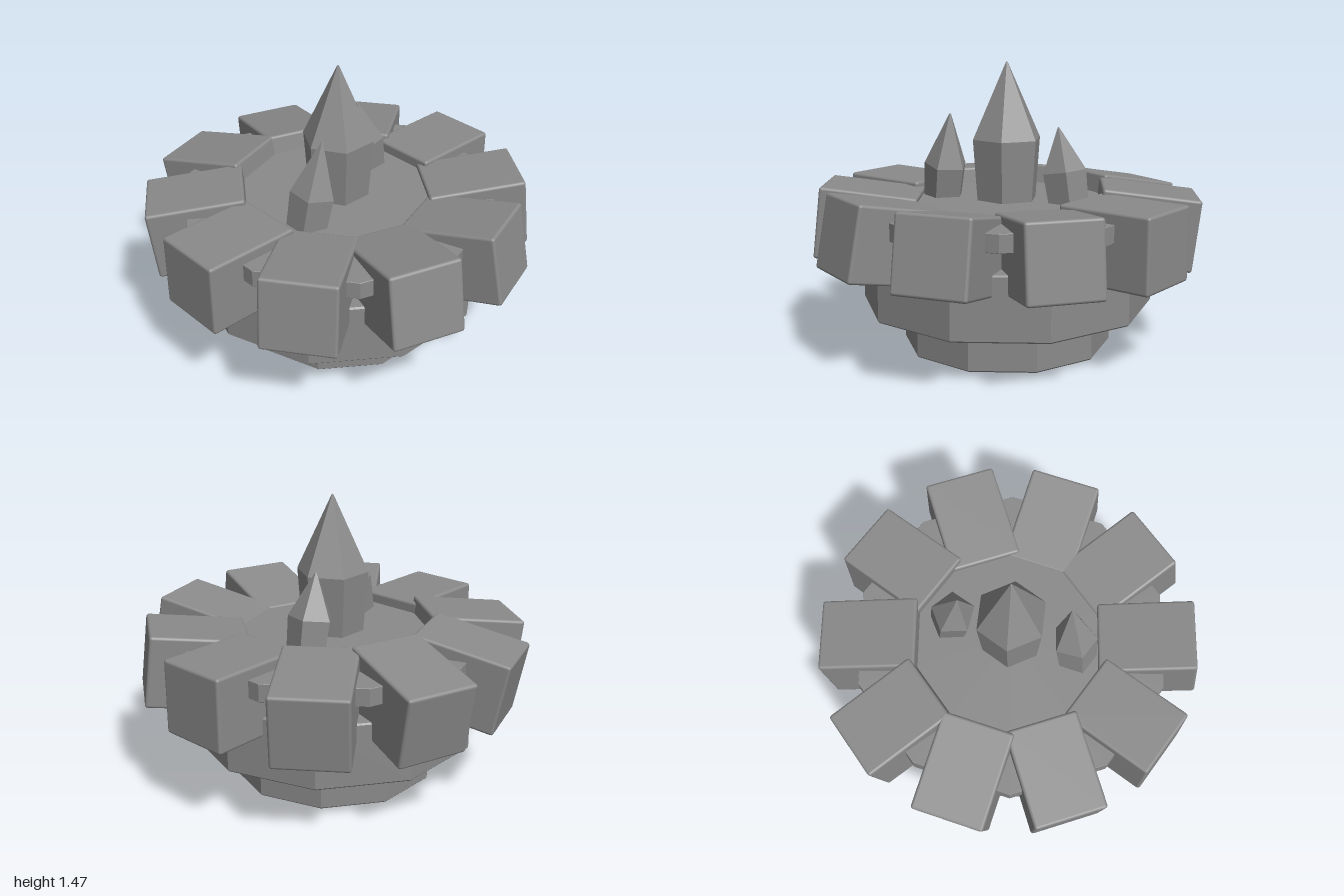
import * as THREE from 'three';
import { RoundedBoxGeometry } from 'three/addons/geometries/RoundedBoxGeometry.js';

const stone = new THREE.MeshStandardMaterial({ color: 0x8a8a8a });
stone.name = 'grey stone';

// Faceted solid of revolution; profile runs from bottom to top
function faceted(profile, sides, spin) {
  const pts = profile.map(([r, y]) => new THREE.Vector2(r, y));
  const g = new THREE.LatheGeometry(pts, sides).rotateY(spin).toNonIndexed();
  g.computeVertexNormals();
  return g;
}

// Polygonal slab with a small chamfer
function slab(radius, y0, y1, spin, c = 0.008) {
  return faceted([[0, y0], [radius - c, y0], [radius, y0 + c], [radius, y1 - c], [radius - c, y1], [0, y1]], 10, spin);
}

// Pointed crystal standing at its own origin
function crystal(baseR, shoulderR, shoulderY, tipY, sides, spin) {
  return faceted([[0, 0], [baseR, 0], [shoulderR, shoulderY], [0.005, tipY - 0.004], [0, tipY]], sides, spin);
}

export function createModel() {
  const model = new THREE.Group();
  model.name = 'crystalPedestal';
  const add = (name, geometry) => {
    const mesh = new THREE.Mesh(geometry, stone);
    mesh.name = name;
    model.add(mesh);
    return mesh;
  };

  // Stepped ten-sided base and the floor plate between the blocks
  const half = Math.PI / 10;
  add('foot', slab(0.54, 0, 0.22, half));
  add('drum', slab(0.755, 0.22, 0.545, half));
  add('floorPlate', slab(0.818, 0.672, 0.762, 0, 0.002));

  // Ring of blocks, tipped up at the front and down at the back
  const blockGeometry = new RoundedBoxGeometry(0.5, 0.374, 0.374, 2, 0.015);
  for (let i = 0; i < 10; i++) {
    const a = (i / 10) * Math.PI * 2;
    const block = add('ringBlock' + (i + 1), blockGeometry);
    block.position.set(0.714 * Math.cos(a), 0.632, 0.714 * Math.sin(a));
    block.rotation.set(0, -a, 0.2 * Math.sin(a));
  }

  // Tall central crystal
  add('centreCrystal', crystal(0.16, 0.185, 0.335, 0.727, 6, Math.PI / 6)).position.y = 0.74;

  // Two small leaning crystals: base, tip, shoulder height, spin
  const small = [
    ['rightCrystal', [-0.325, 0.74, 0.125], [-0.248, 1.2, 0.155], 0.19, 0.31],
    ['leftCrystal', [0.31, 0.74, -0.115], [0.243, 1.141, -0.113], 0.18, 0.7],
  ];
  for (const [name, base, tip, shoulder, spin] of small) {
    const from = new THREE.Vector3(...base);
    const axis = new THREE.Vector3(...tip).sub(from);
    const mesh = add(name, crystal(0.105, 0.115, shoulder, axis.length(), 5, spin));
    mesh.position.copy(from);
    mesh.quaternion.setFromUnitVectors(new THREE.Vector3(0, 1, 0), axis.normalize());
  }

  return model;
}
